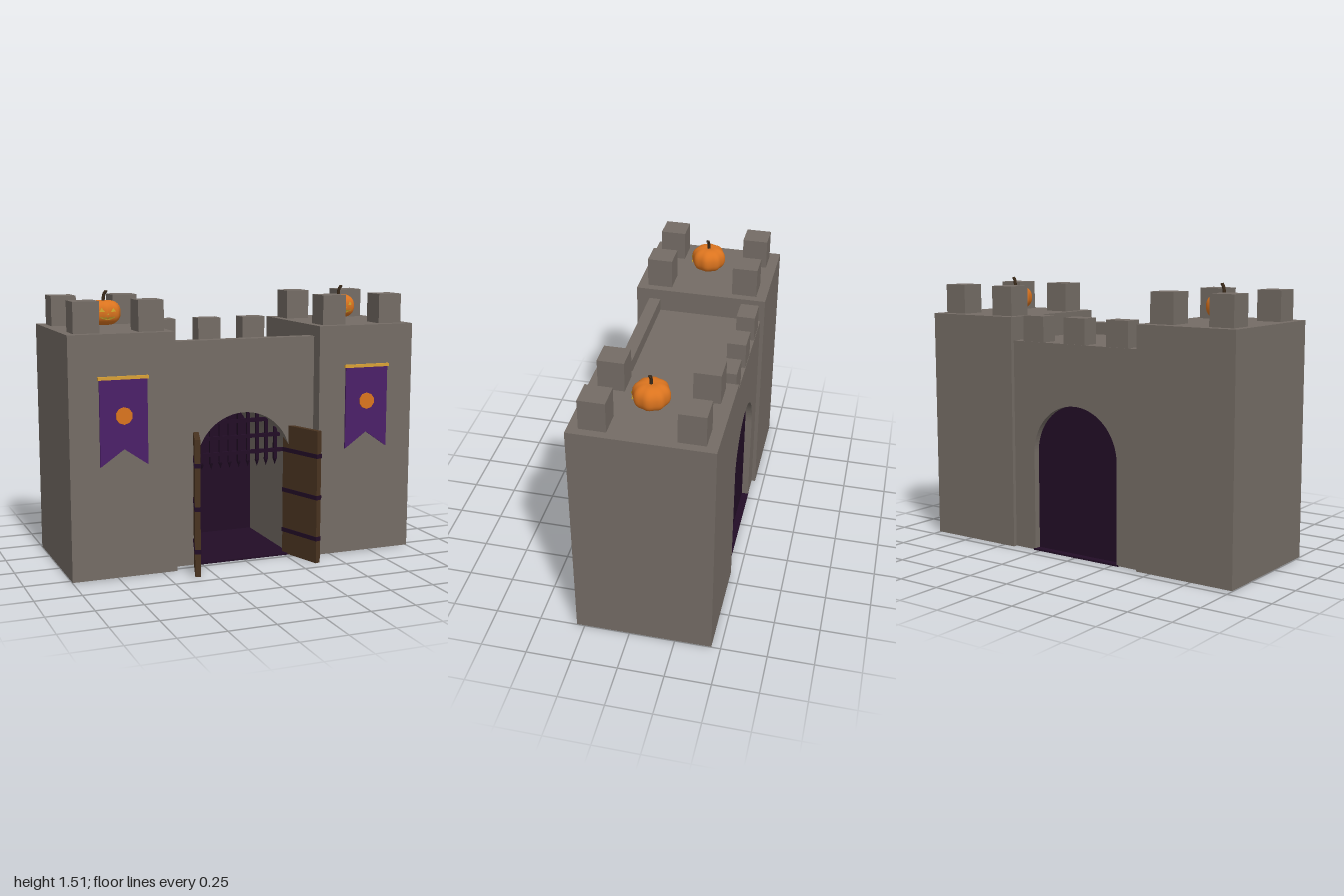
import * as THREE from 'three';

const mat = (name, color, side = THREE.FrontSide) => {
  const m = new THREE.MeshStandardMaterial({ color, side });
  m.name = name;
  return m;
};

export function createModel() {
  const stone = mat('stone', 0x746c65);
  const dark = mat('darkIron', 0x220d26);
  const wood = mat('doorWood', 0x493320);
  const purple = mat('bannerCloth', 0x4b2068);
  const gold = mat('gold', 0xd9a136);
  const orange = mat('pumpkinOrange', 0xdb741f);
  const stemBrown = mat('stem', 0x3a2a1a);
  const glow = mat('faceGlow', 0xc9a42c, THREE.DoubleSide);

  const model = new THREE.Group();
  model.name = 'castleGate';

  const add = (parent, name, geo, material, x = 0, y = 0, z = 0) => {
    const m = new THREE.Mesh(geo, material);
    m.name = name;
    m.position.set(x, y, z);
    parent.add(m);
    return m;
  };
  // box given by its limits on each axis
  const block = (parent, name, material, x0, x1, y0, y1, z0, z1) =>
    add(parent, name, new THREE.BoxGeometry(x1 - x0, y1 - y0, z1 - z0), material,
      (x0 + x1) / 2, (y0 + y1) / 2, (z0 + z1) / 2);
  const extrude = (shape, depth) =>
    new THREE.ExtrudeGeometry(shape, { depth, bevelEnabled: false, curveSegments: 24 });
  const polygon = pts => new THREE.Shape(pts.map(p => new THREE.Vector2(...p)));

  // ---- gatehouse wall with arched passage ----
  const R = 0.28, SPRING = 0.56, ROOF = 1.175, BACK = -0.428, FRONT = 0.22;
  const wall = new THREE.Shape();
  wall.moveTo(-0.42, 0.004);
  wall.lineTo(-R, 0.004);
  wall.lineTo(-R, SPRING);
  wall.absarc(0, SPRING, R, Math.PI, 0, true);
  wall.lineTo(R, 0.004);
  wall.lineTo(0.42, 0.004);
  wall.lineTo(0.42, ROOF);
  wall.lineTo(-0.42, ROOF);
  add(model, 'gateWall', extrude(wall, FRONT - BACK), stone, 0, 0, BACK);
  block(model, 'frontParapet', stone, -0.42, 0.42, ROOF, 1.245, 0.155, FRONT);
  for (const x of [-0.28, 0, 0.28])
    block(model, 'gateMerlon', stone, x - 0.07, x + 0.07, ROOF, 1.317, -0.426, -0.324);

  // dark panel closing the passage, and its floor
  const arch = new THREE.Shape();
  arch.moveTo(-R, 0.004);
  arch.lineTo(R, 0.004);
  arch.lineTo(R, SPRING);
  arch.absarc(0, SPRING, R, 0, Math.PI, false);
  add(model, 'passageBack', extrude(arch, 0.02), dark, 0, 0, -0.39);
  block(model, 'passageFloor', dark, -0.29, 0.29, 0, 0.01, BACK - 0.001, FRONT + 0.001);

  // ---- portcullis ----
  const portcullis = new THREE.Group();
  portcullis.name = 'portcullis';
  model.add(portcullis);
  const PZ = 0.14;
  for (let i = -4; i <= 4; i++) {
    const x = i * 0.055;
    const top = SPRING + Math.sqrt(R * R - x * x);
    block(portcullis, 'bar', dark, x - 0.009, x + 0.009, 0.55, top, PZ - 0.009, PZ + 0.009);
    const spike = add(portcullis, 'spike', new THREE.ConeGeometry(0.014, 0.04, 4), dark, x, 0.535, PZ);
    spike.rotation.x = Math.PI;
  }
  for (const y of [0.6, 0.69, 0.78]) {
    const w = Math.sqrt(R * R - (y - SPRING) ** 2);
    block(portcullis, 'crossBar', dark, -w, w, y - 0.01, y + 0.01, PZ - 0.011, PZ + 0.011);
  }

  // ---- pumpkin surface: flattened, squarish, eight soft lobes ----
  const lobedPoint = (u, v, scale = 1) => {
    const theta = u * Math.PI, phi = v * Math.PI * 2;
    const lobe = 0.965 + 0.035 * Math.cos(8 * phi);
    const r = 0.097 * Math.pow(Math.max(Math.sin(theta), 0), 0.75) * lobe * scale;
    const dip = 0.008 * Math.exp(-Math.pow(r / 0.025, 2));
    const c = Math.cos(theta);
    const y = (0.069 * Math.sign(c) * Math.pow(Math.abs(c), 0.85) - Math.sign(c) * dip) * scale;
    return new THREE.Vector3(r * Math.sin(phi), y, r * Math.cos(phi));
  };
  const pumpkinGeometry = () => {
    const g = new THREE.SphereGeometry(1, 48, 20);
    const p = g.attributes.position, uv = g.attributes.uv;
    for (let i = 0; i < p.count; i++) {
      const q = lobedPoint(1 - uv.getY(i), uv.getX(i));
      p.setXYZ(i, q.x, q.y, q.z);
    }
    g.computeVertexNormals();
    return g;
  };
  // lay a flat outline on the front of the pumpkin
  const facePlate = pts => {
    const g = new THREE.ShapeGeometry(polygon(pts));
    const p = g.attributes.position;
    for (let i = 0; i < p.count; i++) {
      const x = p.getX(i), y = p.getY(i);
      const z = Math.sqrt(Math.max(0, 1 - (x / 0.097) ** 2)) *
        Math.pow(Math.max(0, 1 - (y / 0.069) ** 2), 0.375) * 0.097 + 0.003;
      p.setZ(i, z);
    }
    g.computeVertexNormals();
    return g;
  };
  const mouth = [];
  for (let i = 0; i <= 8; i++) mouth.push([-0.044 + i * 0.011, -0.034 + 0.014 * ((i - 4) / 4) ** 2]);
  for (let i = 7; i >= 1; i--)
    mouth.push([-0.044 + i * 0.011, (i % 2 ? -0.018 : -0.024) + 0.004 * ((i - 4) / 4) ** 2]);

  const pumpkin = (x, y, z) => {
    const g = new THREE.Group();
    g.name = 'pumpkin';
    g.position.set(x, y, z);
    add(g, 'pumpkinBody', pumpkinGeometry(), orange);
    const path = new THREE.CatmullRomCurve3([
      new THREE.Vector3(0, 0.055, 0), new THREE.Vector3(0.002, 0.085, 0),
      new THREE.Vector3(0.007, 0.103, 0.002), new THREE.Vector3(0.016, 0.115, 0.004)]);
    add(g, 'pumpkinStem', new THREE.TubeGeometry(path, 8, 0.009, 8), stemBrown);
    const tip = add(g, 'stemTip', new THREE.SphereGeometry(0.009, 8, 6), stemBrown, 0.016, 0.114, 0.004);
    tip.scale.y = 0.6;
    for (const s of [-1, 1])
      add(g, 'eye', facePlate([[s * 0.016, 0.008], [s * 0.046, 0.01], [s * 0.032, 0.03]]), glow);
    add(g, 'nose', facePlate([[-0.006, -0.008], [0.006, -0.008], [0, 0.004]]), glow);
    add(g, 'mouth', facePlate(mouth), glow);
    model.add(g);
  };

  // ---- the two sides: tower, banner, door ----
  for (const s of [-1, 1]) {
    const side = s > 0 ? 'left' : 'right';
    const tower = new THREE.Group();
    tower.name = side + 'Tower';
    tower.position.x = s * 0.71;
    model.add(tower);
    block(tower, 'towerBody', stone, -0.29, 0.29, 0.003, 1.305, -0.45, 0.293);
    for (const x of [-0.175, 0.175])
      for (const z of [-0.322, 0.167])
        block(tower, 'towerMerlon', stone, x - 0.07, x + 0.07, 1.305, 1.47, z - 0.07, z + 0.07);

    // swallow-tailed banner on a gold rod with a round emblem
    const cloth = polygon([[-0.13, 0.61], [0, 0.7], [0.13, 0.61], [0.13, 1.075], [-0.13, 1.075]]);
    add(tower, 'banner', extrude(cloth, 0.009), purple, 0, 0, 0.295);
    block(tower, 'bannerRod', gold, -0.137, 0.137, 1.068, 1.085, 0.293, 0.309);
    const emblem = add(tower, 'bannerEmblem', new THREE.CylinderGeometry(0.046, 0.046, 0.009, 10),
      orange, 0, 0.877, 0.308);
    emblem.rotation.x = Math.PI / 2;

    pumpkin(s * 0.71, 1.388, -0.067);

    // open door leaf, hinged inside the arch
    const door = new THREE.Group();
    door.name = side + 'Door';
    door.position.set(s * 0.268, 0, 0.173);
    door.rotation.y = s * 0.31;
    model.add(door);
    block(door, 'doorLeaf', wood, -0.015, 0.015, 0.004, 0.748, 0, 0.28);
    for (const y of [0.142, 0.375, 0.608])
      block(door, 'doorBand', dark, -0.018, 0.018, y - 0.012, y + 0.012, -0.002, 0.282);
  }

  return model;
}
